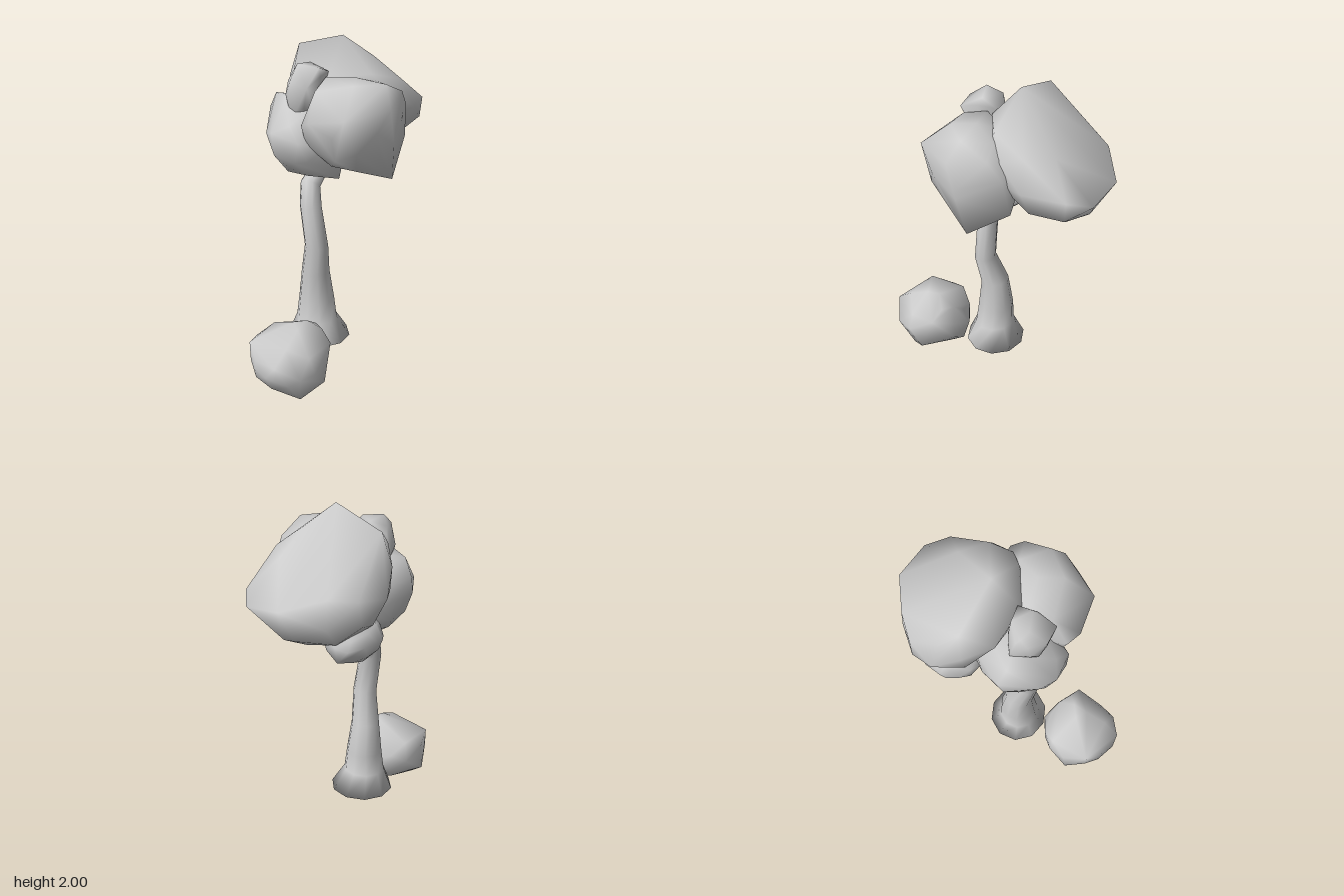
import * as THREE from 'three';
import { ConvexGeometry } from 'three/addons/geometries/ConvexGeometry.js';
import { mergeVertices } from 'three/addons/utils/BufferGeometryUtils.js';

const material = new THREE.MeshStandardMaterial({ color: 0xcccccc, roughness: 0.9 });

// Low-poly lump: hull of a faceted ellipsoid (optionally tilted and flat-topped) plus protruding corners
function lump(name, center, radii, corners, tilt = 0, flat = 1) {
  const p = new THREE.IcosahedronGeometry(1, 1).getAttribute('position');
  const points = corners.map(c => new THREE.Vector3(...c));
  const unique = new Set();
  for (let i = 0; i < p.count; i++) {
    const v = new THREE.Vector3().fromBufferAttribute(p, i);
    const key = v.toArray().map(n => Math.round(n * 1000)).join();
    if (unique.has(key)) continue;
    unique.add(key);
    v.y = Math.min(v.y, flat);
    v.multiply(new THREE.Vector3(...radii));
    v.applyAxisAngle(new THREE.Vector3(1, 0, 0), tilt).add(new THREE.Vector3(...center));
    points.push(v);
  }
  const hull = new ConvexGeometry(points);
  hull.deleteAttribute('normal');
  const geometry = mergeVertices(hull, 1e-4);
  geometry.computeVertexNormals();
  const mesh = new THREE.Mesh(geometry, material);
  mesh.name = name;
  return mesh;
}

// Bent trunk lofted through rings of [x, y, z, radiusX, radiusZ]
function trunk(rings, sides = 10) {
  const pos = [], index = [];
  rings.forEach(([x, y, z, rx, rz], r) => {
    // lean each ring along the local direction of the trunk
    const a = rings[Math.max(r - 1, 0)], b = rings[Math.min(r + 1, rings.length - 1)];
    const tilt = r === 0 ? 0 : Math.atan((b[2] - a[2]) / (b[1] - a[1]));
    for (let s = 0; s < sides; s++) {
      const t = (s / sides) * Math.PI * 2;
      const dz = Math.cos(t) * rz;
      pos.push(x + Math.sin(t) * rx, y - dz * Math.sin(tilt), z + dz * Math.cos(tilt));
      if (r < rings.length - 1) {
        const i = r * sides + s, j = r * sides + (s + 1) % sides;
        index.push(i, j, j + sides, i, j + sides, i + sides);
      }
    }
  });
  // close both ends with fans
  const top = (rings.length - 1) * sides;
  for (let s = 1; s < sides - 1; s++) index.push(0, s + 1, s, top, top + s, top + s + 1);
  const geometry = new THREE.BufferGeometry();
  geometry.setAttribute('position', new THREE.Float32BufferAttribute(pos, 3));
  geometry.setIndex(index);
  geometry.computeVertexNormals();
  const mesh = new THREE.Mesh(geometry, material);
  mesh.name = 'trunk';
  return mesh;
}

export function createModel() {
  const model = new THREE.Group();
  model.name = 'tree';

  model.add(trunk([
    [-0.06, 0.145, 0.04, 0.19, 0.18],
    [-0.072, 0.27, 0.05, 0.125, 0.12],
    [-0.075, 0.4, 0.045, 0.108, 0.11],
    [-0.077, 0.59, 0.053, 0.085, 0.084],
    [-0.043, 0.78, 0.1, 0.072, 0.063],
    [-0.08, 1.03, 0.1, 0.066, 0.062],
    [-0.115, 1.14, 0.04, 0.06, 0.06],
    [-0.095, 1.23, -0.07, 0.05, 0.052],
    [-0.09, 1.27, -0.105, 0.045, 0.045],
  ]));

  // crown: flat-topped slanted back mass
  model.add(lump('backFoliage', [-0.025, 1.59, -0.305], [0.395, 0.23, 0.365], [
    [0, 2, -0.14], [0, 1.56, -0.7], [0.23, 1.53, -0.66], [-0.31, 1.9, -0.18],
    [0.14, 1.87, -0.25], [-0.22, 1.63, -0.57], [0.32, 1.57, -0.54], [0, 1.8, 0.03],
    [-0.02, 1.29, -0.46], [0.05, 1.35, -0.58], [-0.25, 1.78, -0.01], [0.21, 1.82, -0.08],
    [0.31, 1.45, -0.53],
  ], -0.67, 0.8));
  // crown: boxy left mass, undercut at the front
  model.add(lump('leftFoliage', [0.175, 1.56, 0.04], [0.245, 0.27, 0.27], [
    [0.39, 1.26, 0], [0.36, 1.82, 0.04], [0.23, 1.825, 0.17], [0.42, 1.7, 0.1],
    [0.42, 1.49, 0.05], [0.05, 1.64, 0.345], [0.26, 1.68, 0.335], [0, 1.81, 0.06],
    [0.2, 1.25, -0.05], [0.35, 1.43, -0.24], [0.38, 1.74, -0.12], [0.37, 1.64, -0.2],
    [-0.02, 1.6, 0.3], [-0.01, 1.48, 0.265], [0.06, 1.42, 0.2], [0.32, 1.38, 0.15],
    [0.01, 1.77, 0.2], [0.39, 1.6, 0.2],
  ]));
  // crown: round front mass, leaning down to the left
  model.add(lump('frontFoliage', [-0.11, 1.45, 0.06], [0.215, 0.235, 0.255], [
    [-0.31, 1.68, 0.08], [-0.2, 1.69, 0.15], [-0.37, 1.58, 0.05], [-0.02, 1.188, 0],
    [-0.2, 1.53, 0.32], [0.08, 1.215, 0.05], [0.12, 1.32, 0.09], [-0.05, 1.38, 0.32],
    [-0.36, 1.48, 0.08], [-0.03, 1.5, 0.32], [-0.16, 1.22, 0], [-0.27, 1.5, 0.26],
  ]));
  // crown: small lumps behind and on top
  model.add(lump('lowerBackFoliage', [-0.21, 1.325, -0.3], [0.155, 0.135, 0.185], [
    [-0.27, 1.19, -0.3], [-0.37, 1.33, -0.26], [-0.22, 1.24, -0.48],
    [-0.34, 1.42, -0.28], [-0.28, 1.31, -0.47],
  ]));
  model.add(lump('topFoliage', [-0.11, 1.71, 0.11], [0.1, 0.155, 0.11], [
    [-0.14, 1.885, 0.13], [-0.02, 1.87, 0.1], [0, 1.83, 0.12], [-0.02, 1.79, 0.235],
    [-0.18, 1.83, 0.1], [-0.01, 1.83, 0.01], [-0.23, 1.69, 0.06], [-0.12, 1.87, 0.02],
    [-0.13, 1.81, 0.23],
  ]));

  // bush in front of the trunk
  model.add(lump('bush', [-0.03, 0.2, 0.455], [0.22, 0.18, 0.235], [
    [0.05, 0.44, 0.38], [-0.02, 0.43, 0.42], [-0.22, 0.32, 0.58], [-0.26, 0.28, 0.44],
    [0.195, 0.32, 0.36], [0.2, 0.1, 0.44], [-0.26, 0.11, 0.46], [0.02, 0.28, 0.7],
    [-0.03, 0, 0.47], [-0.16, 0.02, 0.52], [0.1, 0.01, 0.55], [-0.03, 0.2, 0.215],
    [-0.04, 0.2, 0.7], [0.12, 0.38, 0.33], [-0.2, 0.33, 0.34], [0.05, 0.37, 0.28],
    [0.15, 0.2, 0.63], [-0.15, 0.2, 0.64], [0.19, 0.2, 0.53], [0.04, 0.42, 0.47],
    [0.04, 0.36, 0.6], [0, 0.03, 0.33], [0, 0.09, 0.24],
  ]));
  return model;
}
